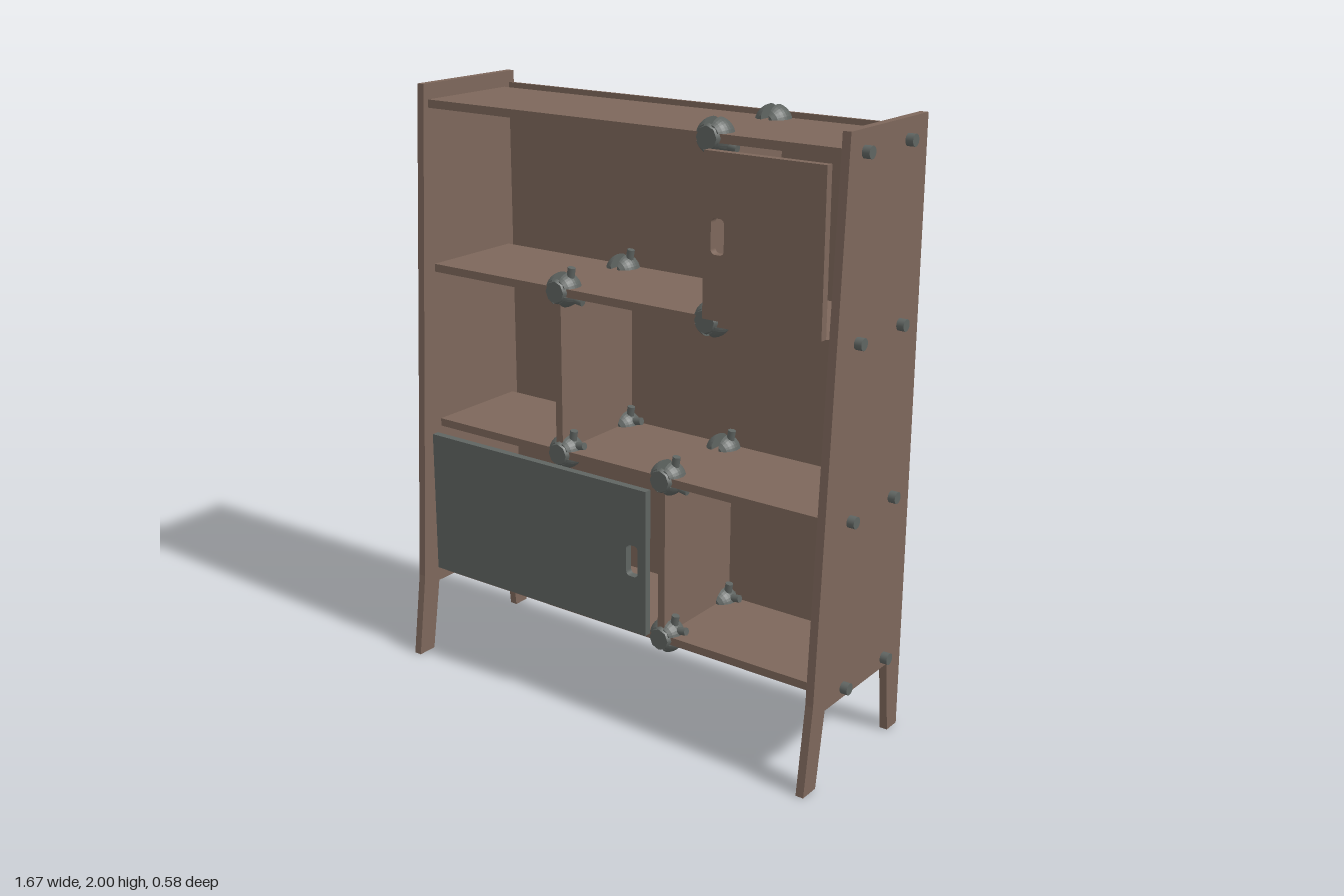
import * as THREE from 'three';
import { ConvexGeometry } from 'three/addons/geometries/ConvexGeometry.js';

const wood = new THREE.MeshStandardMaterial({ color: 0x7d675b });
wood.name = 'brown wood';
const grey = new THREE.MeshStandardMaterial({ color: 0x5f6461 });
grey.name = 'slate grey';

const T = 0.027; // board thickness
const BACK = -0.24, FRONT = 0.137; // shelf depth range
const LEVELS = [0.285, 0.835, 1.385, 1.935];

function add(parent, name, geometry, material) {
  const mesh = new THREE.Mesh(geometry, material);
  mesh.name = name;
  parent.add(mesh);
  return mesh;
}

// Box given by its minimum and maximum on each axis
function board(parent, name, x0, x1, y0, y1, z0, z1, material = wood) {
  const mesh = add(parent, name, new THREE.BoxGeometry(x1 - x0, y1 - y0, z1 - z0), material);
  mesh.position.set((x0 + x1) / 2, (y0 + y1) / 2, (z0 + z1) / 2);
}

// Tapered side board with its two legs
function sidePanel(parent, name, side) {
  const outline = [[-0.29, 0], [-0.23, 0], [-0.205, 0.25], [0.18, 0.25], [0.22, 0],
    [0.29, 0], [0.25, 0.29], [0.155, 2], [-0.29, 2]];
  const shape = new THREE.Shape(outline.map(([z, y]) => new THREE.Vector2(z, y)));
  const geometry = new THREE.ExtrudeGeometry(shape, { depth: T, bevelEnabled: false });
  geometry.rotateY(-Math.PI / 2).translate(T / 2, 0, 0);
  add(parent, name, geometry, wood).position.x = side * 0.797;
}

// Door with a rounded slot as its handle
function door(parent, name, x0, x1, y0, y1, slotX, slotY, material) {
  const shape = new THREE.Shape();
  shape.moveTo(x0, y0).lineTo(x1, y0).lineTo(x1, y1).lineTo(x0, y1).closePath();
  const w = 0.023, h = 0.054, r = 0.015;
  const slot = new THREE.Path();
  slot.absarc(slotX + w - r, slotY + h - r, r, 0, Math.PI / 2);
  slot.absarc(slotX - w + r, slotY + h - r, r, Math.PI / 2, Math.PI);
  slot.absarc(slotX - w + r, slotY - h + r, r, Math.PI, Math.PI * 1.5);
  slot.absarc(slotX + w - r, slotY - h + r, r, Math.PI * 1.5, Math.PI * 2);
  slot.closePath();
  shape.holes.push(slot);
  const geometry = new THREE.ExtrudeGeometry(shape, { depth: 0.026, bevelEnabled: false, curveSegments: 5 });
  add(parent, name, geometry, material).position.z = 0.171;
}

// Quarter of a ball, cut back to leave slots for the boards
function quarterBall() {
  const R = 0.058, h = T / 2, points = [];
  for (let i = 0; i <= 9; i++) {
    const z = -0.05 + (0.092 * i) / 9;
    const r = Math.sqrt(R * R - z * z);
    const start = Math.asin(h / r), end = Math.acos(h / r);
    points.push(new THREE.Vector3(h, h, z));
    for (let j = 0; j <= 6; j++) {
      const a = start + ((end - start) * j) / 6;
      points.push(new THREE.Vector3(r * Math.cos(a), r * Math.sin(a), z));
    }
  }
  return new ConvexGeometry(points);
}
const quarterGeometry = quarterBall();
const hubGeometry = new THREE.CylinderGeometry(0.036, 0.042, 0.014, 8).rotateX(Math.PI / 2);
const screwGeometry = new THREE.CylinderGeometry(0.013, 0.013, 0.04, 12);

// Slotted ball joint that clamps a shelf and a divider
function connector(parent, x, y, z, dividerUp, hasTopScrew) {
  const joint = new THREE.Group();
  joint.name = 'connector';
  const rear = z < 0 ? -1 : 1;
  for (let i = 0; i < 4; i++) {
    const quarter = add(joint, 'connectorQuarter', quarterGeometry, grey);
    quarter.rotation.z = (i * Math.PI) / 2;
    if (rear < 0) quarter.rotation.set(0, Math.PI, quarter.rotation.z);
  }
  add(joint, 'connectorHub', hubGeometry, grey).position.z = rear * 0.042;
  if (rear < 0) joint.children[4].rotation.y = Math.PI;
  // clamping screws
  const v = dividerUp ? 1 : -1;
  const sideScrew = add(joint, 'clampScrew', screwGeometry, grey);
  sideScrew.position.set(0.057, v * 0.028, 0);
  sideScrew.rotation.z = -Math.PI / 2 + v * 0.17;
  if (hasTopScrew) {
    const topScrew = add(joint, 'clampScrew', screwGeometry, grey);
    topScrew.position.set(0.03, 0.057, 0);
    topScrew.rotation.z = -0.17;
  }
  joint.position.set(x, y, z);
  parent.add(joint);
}

export function createModel() {
  const model = new THREE.Group();
  model.name = 'shelvingUnit';

  sidePanel(model, 'leftSidePanel', 1);
  sidePanel(model, 'rightSidePanel', -1);
  board(model, 'backPanel', -0.785, 0.785, 0.262, 1.962, -0.275, -0.265);

  // Shelves and the bolts that hold them
  const boltGeometry = new THREE.CylinderGeometry(0.019, 0.019, 0.03, 20).rotateZ(Math.PI / 2);
  for (const y of LEVELS) {
    board(model, 'shelf', -0.785, 0.785, y - T / 2, y + T / 2, BACK, FRONT);
    for (const side of [-1, 1]) {
      for (const z of [0.075, -0.175]) {
        add(model, 'bolt', boltGeometry, grey).position.set(side * 0.82, y, z);
      }
    }
  }

  // One divider per row, with connectors at its four corners
  [0.165, -0.25, 0.33].forEach((x, row) => {
    const low = LEVELS[row], high = LEVELS[row + 1];
    board(model, 'divider', x - T / 2, x + T / 2, low + T / 2, high - T / 2, BACK, FRONT);
    for (const z of [0.102, -0.21]) {
      connector(model, x, low, z, true, true);
      connector(model, x, high, z, false, row < 2);
    }
  });

  door(model, 'largeDoor', -0.768, 0.146, 0.31, 0.81, 0.092, 0.56, grey);
  door(model, 'smallDoor', 0.355, 0.764, 1.41, 1.91, 0.405, 1.662, wood);
  return model;
}
